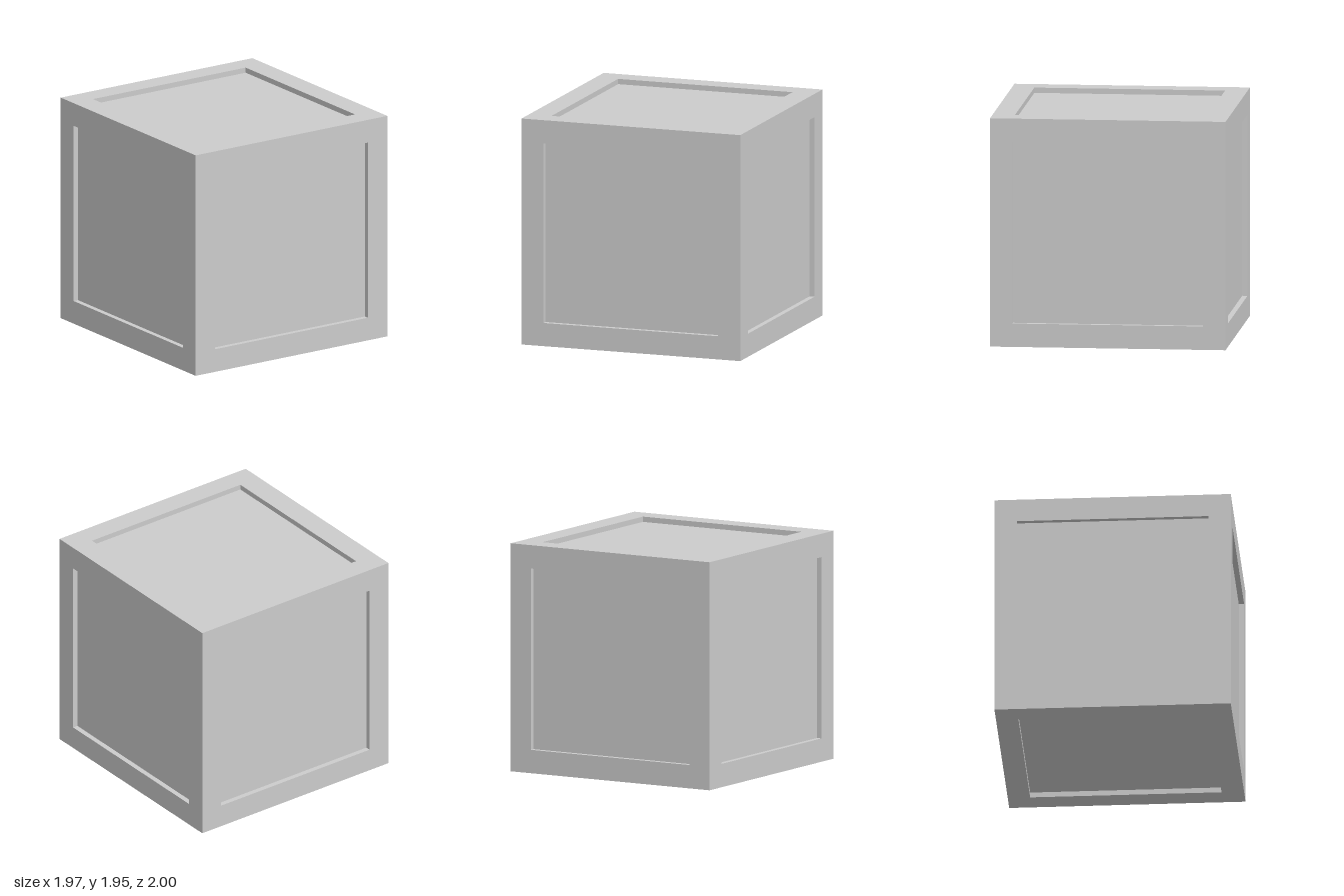
import * as THREE from 'three';
import { mergeGeometries } from 'three/addons/utils/BufferGeometryUtils.js';

const W = 1.97, H = 1.95, D = 2;            // outer size
const MX = 0.2, MY = 0.2, MZ = 0.19;        // frame width along each axis
const DEPTH = 0.045;                        // how far the panels sit back

function rectangle(target, w, h) {
  target.moveTo(-w / 2, -h / 2);
  target.lineTo(w / 2, -h / 2);
  target.lineTo(w / 2, h / 2);
  target.lineTo(-w / 2, h / 2);
  target.closePath();
  return target;
}

// Flat border with a rectangular opening and the four walls of its recess
function frameGeometry(w, h, iw, ih) {
  const border = rectangle(new THREE.Shape(), w, h);
  border.holes.push(rectangle(new THREE.Path(), iw, ih));
  const parts = [new THREE.ShapeGeometry(border)];
  for (let k = 0; k < 4; k++) {
    const [length, offset] = k % 2 ? [ih, iw / 2] : [iw, ih / 2];
    parts.push(new THREE.PlaneGeometry(length, DEPTH)
      .rotateX(-Math.PI / 2)
      .translate(0, -offset, -DEPTH / 2)
      .rotateZ(k * Math.PI / 2));
  }
  return mergeGeometries(parts);
}

export function createModel() {
  const crate = new THREE.Group();
  crate.name = 'crate';
  const material = new THREE.MeshStandardMaterial({ color: 0xcccccc });
  const q = Math.PI / 2;

  // name, width, height, side margin, upright margin, distance from centre, rotation
  const sides = [
    ['front', W, H, MX, MY, D / 2, 0, 0],
    ['back', W, H, MX, MY, D / 2, 0, 2 * q],
    ['left', D, H, MZ, MY, W / 2, 0, q],
    ['right', D, H, MZ, MY, W / 2, 0, -q],
    ['top', W, D, MX, MZ, H / 2, -q, 0],
    ['bottom', W, D, MX, MZ, H / 2, q, 0],
  ];

  for (const [name, w, h, mw, mh, distance, rx, ry] of sides) {
    const iw = w - 2 * mw, ih = h - 2 * mh;
    const place = (geometry, z, part) => {
      geometry.translate(0, 0, z).rotateX(rx).rotateY(ry).translate(0, H / 2, 0);
      const mesh = new THREE.Mesh(geometry, material);
      mesh.name = name + part;
      crate.add(mesh);
    };
    place(frameGeometry(w, h, iw, ih), distance, 'Frame');
    place(new THREE.PlaneGeometry(iw, ih), distance - DEPTH, 'Panel');
  }
  return crate;
}
